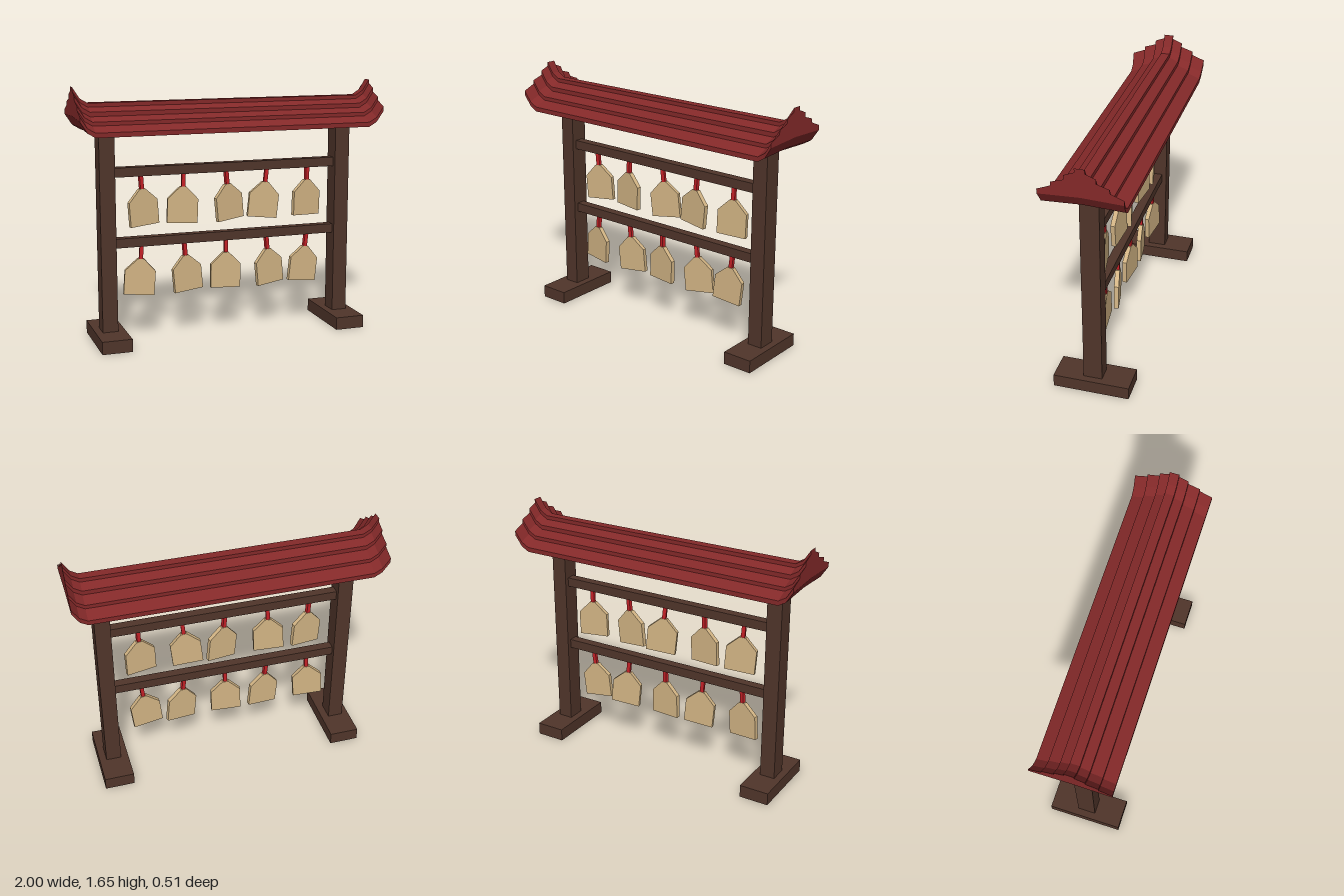
import * as THREE from 'three';

const mat = (color) => new THREE.MeshStandardMaterial({ color, flatShading: true });
const wood = mat(0x50352a);
const roofRed = mat(0x842929);
const cordRed = mat(0xc42026);
const plaqueWood = mat(0xd2b484);

function box(name, w, h, d, x, y, z, material) {
  const mesh = new THREE.Mesh(new THREE.BoxGeometry(w, h, d), material);
  mesh.name = name;
  mesh.position.set(x, y, z);
  return mesh;
}

// Stepped roof: one cross-section swept along x, lifted and widened at the ends
function createRoof() {
  const half = [
    [0.245, 1.36], [0.245, 1.39], [0.165, 1.423], [0.165, 1.447],
    [0.09, 1.472], [0.09, 1.5], [0.03, 1.525], [0.03, 1.55],
  ];
  const mirrored = half.map(([z, y]) => [-z, y]).reverse();
  const outline = [[0, 1.371], ...half, ...mirrored];
  const shape = new THREE.Shape(outline.map(([z, y]) => new THREE.Vector2(z, y)));

  const stations = [-1, -0.955, -0.905, 0.905, 0.955, 1];
  const lifts = [0.1, 0.03, 0, 0, 0.03, 0.1];
  const steps = stations.length - 1;
  const geometry = new THREE.ExtrudeGeometry(shape, { depth: steps, steps, bevelEnabled: false });
  const p = geometry.attributes.position;
  for (let i = 0; i < p.count; i++) {
    const k = Math.round(p.getZ(i));
    const widen = 1 + lifts[k] * 0.33;
    p.setXYZ(i, stations[k], p.getY(i) + lifts[k], -p.getX(i) * widen);
  }
  geometry.computeVertexNormals();
  const roof = new THREE.Mesh(geometry, roofRed);
  roof.name = 'roof';
  return roof;
}

// House-shaped tablet, its top edge just below the hanging point
function createPlaqueGeometry() {
  const thickness = 0.03;
  const points = [
    [-0.1, -0.323], [0.1, -0.323], [0.1, -0.165],
    [0.02, -0.085], [-0.02, -0.085], [-0.1, -0.165],
  ];
  const shape = new THREE.Shape(points.map(([x, y]) => new THREE.Vector2(x, y)));
  const geometry = new THREE.ExtrudeGeometry(shape, { depth: thickness, bevelEnabled: false });
  return geometry.translate(0, 0, -thickness / 2);
}

export function createModel() {
  const model = new THREE.Group();
  model.name = 'plaqueRack';

  // Posts on their feet
  for (const [side, s] of [['left', 1], ['right', -1]]) {
    model.add(box(side + 'Foot', 0.195, 0.083, 0.49, s * 0.798, 0.0415, 0, wood));
    model.add(box(side + 'Post', 0.1, 1.295, 0.12, s * 0.8, 0.7275, 0, wood));
  }

  // Rails, each with a row of swaying plaques: [x, turn, tilt]
  const rows = [
    { name: 'upper', y: 1.108, plaques: [
      [-0.573, 0.2, 0.07], [-0.288, -0.12, -0.04], [0, 0.25, 0.1],
      [0.283, -0.1, -0.1], [0.572, 0.17, -0.03],
    ] },
    { name: 'lower', y: 0.652, plaques: [
      [-0.573, -0.13, -0.07], [-0.288, 0.14, 0.09], [0, -0.1, -0.02],
      [0.283, 0.2, 0.1], [0.572, 0.08, -0.11],
    ] },
  ];
  const plaqueGeometry = createPlaqueGeometry();
  for (const row of rows) {
    model.add(box(row.name + 'Rail', 1.52, 0.06, 0.06, 0, row.y, 0, wood));
    for (const [x, turn, tilt] of row.plaques) {
      const hanging = new THREE.Group();
      hanging.name = row.name + 'HangingPlaque';
      hanging.position.set(x, row.y - 0.03, 0);
      hanging.rotation.set(0, turn, tilt);
      const plaque = new THREE.Mesh(plaqueGeometry, plaqueWood);
      plaque.name = 'plaque';
      hanging.add(plaque, box('cord', 0.025, 0.1, 0.025, 0, -0.04, 0, cordRed));
      model.add(hanging);
    }
  }

  model.add(createRoof());
  return model;
}
